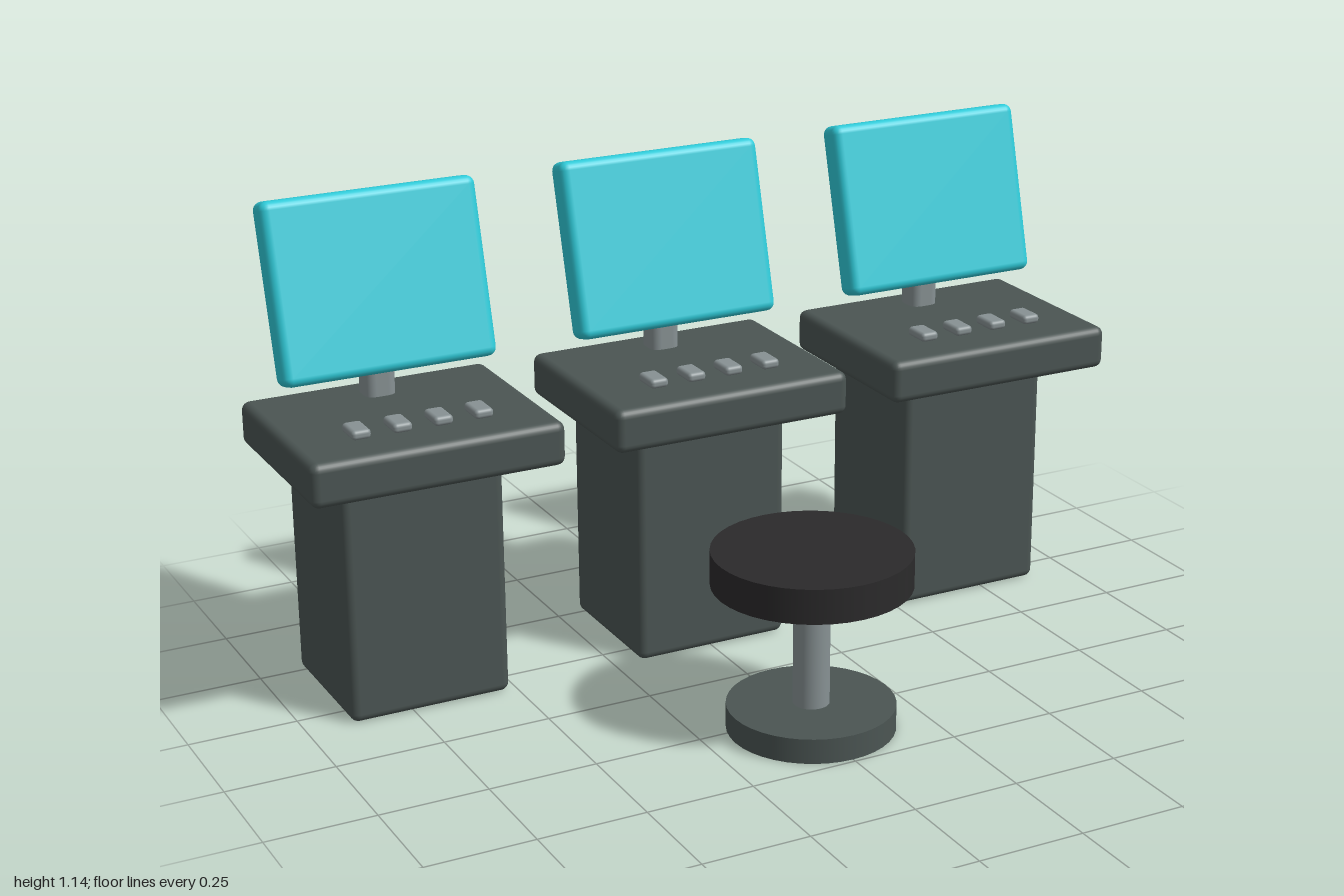
import * as THREE from 'three';
import { RoundedBoxGeometry } from 'three/addons/geometries/RoundedBoxGeometry.js';

function material(name, color) {
  const m = new THREE.MeshStandardMaterial({ color });
  m.name = name;
  return m;
}

export function createModel() {
  const casing = material('casing grey', 0x4b5553);
  const metal = material('light metal', 0x879193);
  const cyan = material('screen cyan', 0x2fcbd9);
  const black = material('seat black', 0x2b2a2b);

  const model = new THREE.Group();
  model.name = 'controlStation';

  function add(parent, name, geometry, mat, x, y, z) {
    const mesh = new THREE.Mesh(geometry, mat);
    mesh.name = name;
    mesh.position.set(x, y, z);
    parent.add(mesh);
    return mesh;
  }
  const box = (w, h, d, r) => new RoundedBoxGeometry(w, h, d, 3, r);

  // Shared console geometries
  const pedestalGeo = box(0.38, 0.59, 0.352, 0.02);
  const deskGeo = box(0.586, 0.102, 0.468, 0.02);
  const postGeo = box(0.072, 0.29, 0.07, 0.022);
  const screenGeo = box(0.5, 0.406, 0.072, 0.02);
  const buttonGeo = box(0.044, 0.022, 0.07, 0.009);

  // Three identical consoles in a row
  for (const [name, x] of [['rightConsole', -0.707], ['centerConsole', 0], ['leftConsole', 0.707]]) {
    const unit = new THREE.Group();
    unit.name = name;
    unit.position.x = x;
    add(unit, 'pedestal', pedestalGeo, casing, 0, 0.297, -0.347);
    add(unit, 'desk', deskGeo, casing, 0, 0.622, -0.289);
    add(unit, 'screenPost', postGeo, metal, 0, 0.795, -0.435);
    // Screen leans backwards
    add(unit, 'screen', screenGeo, cyan, 0, 0.942, -0.406).rotation.x = -0.26;
    for (let i = 0; i < 4; i++) {
      add(unit, 'button', buttonGeo, metal, -0.148 + i * 0.0942, 0.692, -0.17);
    }
    model.add(unit);
  }

  // Round stool in front of the centre console
  const stool = new THREE.Group();
  stool.name = 'stool';
  stool.position.z = 0.302;
  const disc = (r, h) => new THREE.CylinderGeometry(r, r, h, 40);
  add(stool, 'stoolBase', disc(0.189, 0.058), casing, 0, 0.031, 0);
  add(stool, 'stoolPost', disc(0.041, 0.32), metal, 0, 0.2, 0);
  add(stool, 'stoolSeat', disc(0.223, 0.08), black, 0, 0.385, 0);
  model.add(stool);

  return model;
}
